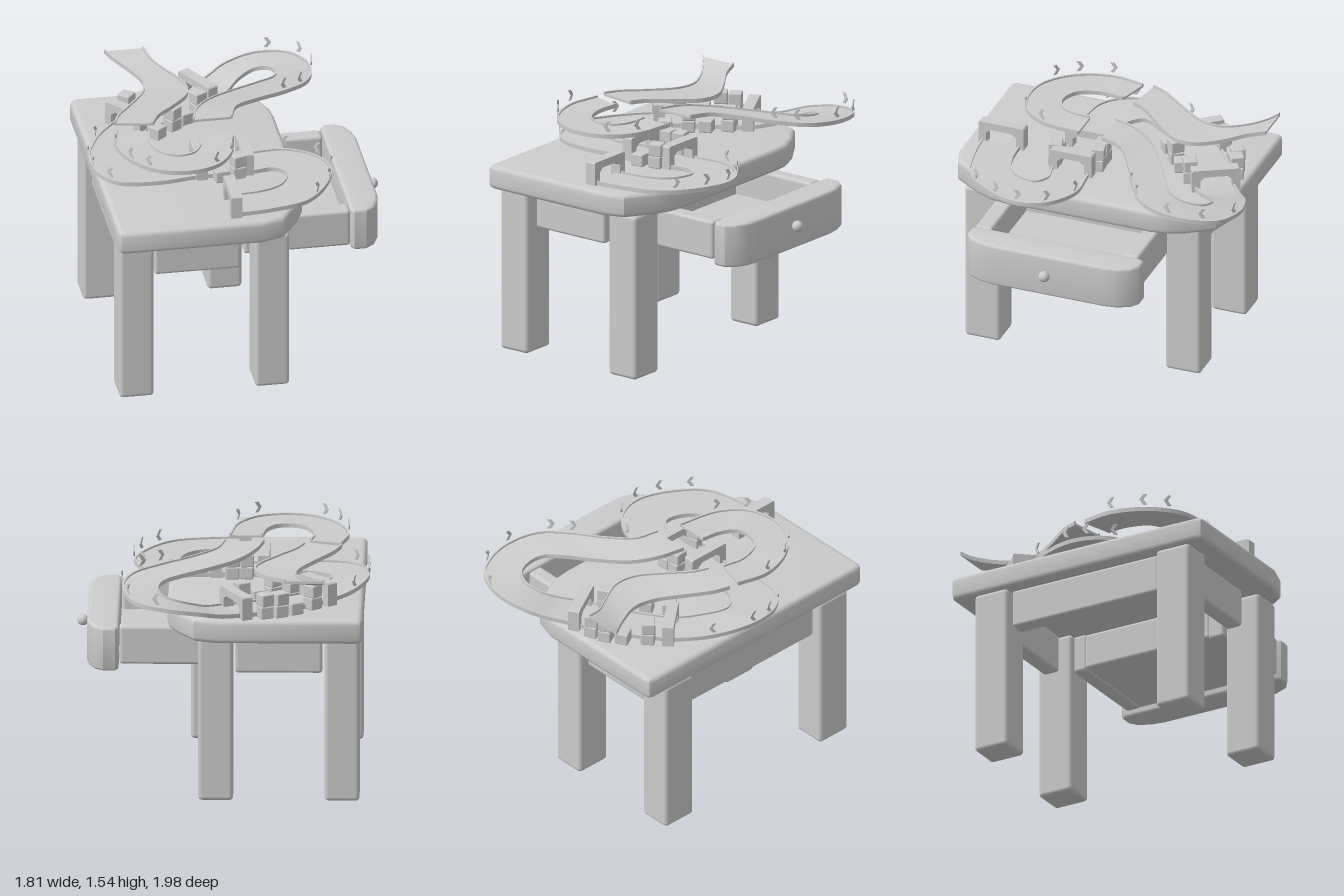
import * as THREE from 'three';
import { toCreasedNormals } from 'three/addons/utils/BufferGeometryUtils.js';
import { RoundedBoxGeometry } from 'three/addons/geometries/RoundedBoxGeometry.js';

const material = new THREE.MeshStandardMaterial({ color: 0xcccccc });
const TOP = 1.21; // height of the table surface

function add(parent, name, geometry, x = 0, y = 0, z = 0, yaw = 0) {
  const mesh = new THREE.Mesh(geometry, material);
  mesh.name = name;
  mesh.position.set(x, y, z);
  mesh.rotation.y = yaw;
  parent.add(mesh);
  return mesh;
}

// Rounded box given by its limits on each axis
function block(parent, name, [x0, x1], [y0, y1], [z0, z1], r = 0.02) {
  const g = new RoundedBoxGeometry(x1 - x0, y1 - y0, z1 - z0, 3, r);
  return add(parent, name, g, (x0 + x1) / 2, (y0 + y1) / 2, (z0 + z1) / 2);
}

// Flat slab with a plan outline of [x, z] points and soft top and bottom edges
function slab(parent, name, outline, y0, y1, bevel) {
  const shape = new THREE.Shape(outline.map(([x, z]) => new THREE.Vector2(x, -z)));
  const g = new THREE.ExtrudeGeometry(shape, {
    depth: y1 - y0 - 2 * bevel, bevelThickness: bevel, bevelSize: bevel,
    bevelOffset: -bevel, bevelSegments: 4,
  });
  g.rotateX(-Math.PI / 2);
  return add(parent, name, toCreasedNormals(g, 0.6), 0, y0 + bevel, 0);
}

// Mirror half an outline across the table's middle line, z = 0.09
const mirrored = (half) => [...half, ...half.map(([x, z]) => [x, 0.18 - z]).reverse()];

// Road with raised lips. Rows: right edge x, z, left edge x, z, height
function makeRoad(parent, name, rows) {
  const right = new THREE.CatmullRomCurve3(rows.map(([x, z, , , y]) => new THREE.Vector3(x, y, z)));
  const left = new THREE.CatmullRomCurve3(rows.map(([, , x, z, y]) => new THREE.Vector3(x, y, z)));
  const steps = (rows.length - 1) * 8;
  const profile = [[0, -0.015], [0, 0.012], [0.012, 0.012], [0.012, 0]];
  const pos = [], index = [];
  for (let j = 0; j <= steps; j++) {
    const a = right.getPoint(j / steps), b = left.getPoint(j / steps);
    const across = b.clone().sub(a).normalize();
    for (const [w, h] of profile) {
      const p = a.clone().addScaledVector(across, w);
      pos.push(p.x, p.y + h, p.z);
    }
    for (const [w, h] of [...profile].reverse()) {
      const p = b.clone().addScaledVector(across, -w);
      pos.push(p.x, p.y + h, p.z);
    }
    if (j === steps) break;
    for (let k = 0; k < 8; k++) {
      const p = j * 8 + k, q = j * 8 + (k + 1) % 8;
      index.push(p, p + 8, q, q, p + 8, q + 8);
    }
  }
  // end caps
  const e = steps * 8;
  for (const [a, b, c, d] of [[0, 3, 4, 7], [0, 1, 2, 3], [4, 5, 6, 7]]) {
    index.push(a, b, c, a, c, d, e + a, e + c, e + b, e + a, e + d, e + c);
  }
  const g = new THREE.BufferGeometry();
  g.setAttribute('position', new THREE.Float32BufferAttribute(pos, 3));
  g.setIndex(index);
  add(parent, name, toCreasedNormals(g, 0.7));
  return { right, left, last: rows.length - 1 };
}

// Arrow-shaped markers along an edge, at positions counted in road rows
const arrow = new THREE.ExtrudeGeometry(new THREE.Shape([
  [-0.023, 0], [0, 0], [0.023, 0.034], [0, 0.068], [-0.023, 0.068], [0, 0.034],
].map(([x, y]) => new THREE.Vector2(x, y))), { depth: 0.008, bevelEnabled: false });
arrow.translate(0, 0, -0.004);

function markers(parent, curve, last, stations) {
  for (const s of stations) {
    const p = curve.getPoint(s / last), t = curve.getTangent(s / last);
    add(parent, 'cornerMarker', arrow, p.x, p.y + 0.03, p.z, Math.atan2(t.z, -t.x));
  }
}

// Arch that spans the road
function gate(parent, x, z, yaw, span = 0.28) {
  const w = span / 2, i = w - 0.05;
  const outline = [[-w, 0], [-i, 0], [-i, 0.075], [-i + 0.03, 0.1], [i - 0.03, 0.1], [i, 0.075],
    [i, 0], [w, 0], [w, 0.14], [w - 0.008, 0.148], [-w + 0.008, 0.148], [-w, 0.14]];
  const g = new THREE.ExtrudeGeometry(new THREE.Shape(outline.map(([u, v]) => new THREE.Vector2(u, v))),
    { depth: 0.07, bevelEnabled: false });
  g.translate(0, 0, -0.035);
  add(parent, 'gate', g, x, TOP, z, yaw);
}

export function createModel() {
  const model = new THREE.Group();
  const table = new THREE.Group(), drawer = new THREE.Group(), track = new THREE.Group();
  table.name = 'table';
  drawer.name = 'drawer';
  track.name = 'track';
  model.add(table, drawer, track);

  // Table top: nearly square on the left, cut corners on the right
  slab(table, 'tableTop', mirrored([[-0.87, 0.95], [-0.858, 0.978], [-0.83, 0.99], [0.03, 0.99],
    [0.17, 0.945], [0.28, 0.78], [0.33, 0.66], [0.34, 0.56]]), 1.06, TOP, 0.03);

  // Legs and rails
  for (const [x, z] of [[-0.85, 0.65], [-0.85, -0.65], [0, 0.65], [-0.07, -0.65]]) {
    block(table, 'leg', [x, x + 0.215], [0, 1.06], [z, z + 0.235], 0.025);
  }
  block(table, 'frontRail', [-0.62, -0.08], [0.81, 1.055], [0.71, 0.82]);
  block(table, 'backRail', [-0.62, -0.08], [0.81, 1.055], [-0.6, -0.49]);
  block(table, 'leftRail', [-0.8, -0.69], [0.81, 1.055], [-0.41, 0.64]);

  // Open drawer
  slab(drawer, 'drawerFront', mirrored([[0.64, 0.63], [0.66, 0.66], [0.735, 0.66],
    [0.79, 0.62], [0.825, 0.54], [0.838, 0.46]]), 0.78, 1.06, 0.02);
  block(drawer, 'drawerSide', [-0.03, 0.635], [0.81, 1.055], [0.54, 0.65]);
  block(drawer, 'drawerSide', [-0.03, 0.635], [0.81, 1.055], [-0.43, -0.33]);
  block(drawer, 'drawerBack', [-0.03, 0.05], [0.82, 1.05], [-0.34, 0.55]);
  block(drawer, 'drawerFloor', [-0.02, 0.65], [0.825, 0.87], [-0.36, 0.58], 0.005);
  add(drawer, 'knob', new THREE.SphereGeometry(0.035, 24, 16), 0.87, 0.935, 0.1);

  // Upper road: launch ramp, half loop, and the banked descent
  makeRoad(track, 'launchRamp', [
    [-0.64, -0.87, -0.39, -0.87, 1.485], [-0.6, -0.82, -0.36, -0.76, 1.46],
    [-0.52, -0.7, -0.28, -0.63, 1.435], [-0.46, -0.55, -0.2, -0.47, 1.425],
    [-0.48, -0.42, -0.21, -0.34, 1.425], [-0.6, -0.23, -0.33, -0.18, 1.435],
    [-0.69, -0.1, -0.44, -0.06, 1.445], [-0.73, 0, -0.49, 0.04, 1.45]]);
  const loop = makeRoad(track, 'upperLoop', [
    [-0.73, 0.07, -0.53, 0.13, 1.445], [-0.77, 0.28, -0.55, 0.27, 1.44],
    [-0.7, 0.5, -0.51, 0.4, 1.44], [-0.55, 0.65, -0.45, 0.45, 1.44],
    [-0.38, 0.69, -0.38, 0.465, 1.44], [-0.2, 0.64, -0.31, 0.44, 1.44],
    [-0.08, 0.49, -0.26, 0.36, 1.44], [-0.03, 0.23, -0.24, 0.23, 1.445]]);
  markers(track, loop.right, loop.last, [1, 1.9, 2.6, 5, 6]);
  const descent = makeRoad(track, 'descent', [
    [0, 0.06, -0.25, 0.06, 1.46], [0.05, -0.08, -0.2, -0.1, 1.45],
    [0.2, -0.19, -0.1, -0.24, 1.43], [0.4, -0.3, 0.08, -0.37, 1.41],
    [0.55, -0.42, 0.25, -0.47, 1.395], [0.61, -0.58, 0.36, -0.55, 1.38],
    [0.6, -0.76, 0.39, -0.64, 1.365], [0.51, -0.92, 0.36, -0.74, 1.345],
    [0.32, -0.985, 0.28, -0.77, 1.325], [0.12, -0.94, 0.18, -0.73, 1.29],
    [0, -0.86, 0.1, -0.65, 1.255], [-0.13, -0.77, 0, -0.55, 1.235]]);
  markers(track, descent.right, descent.last, [2.9, 3.6, 5.2, 6.4, 7.6]);

  // Lower road on the table surface
  const low = makeRoad(track, 'lowerRoad', [
    [-0.13, -0.77, 0, -0.55, 1.232], [-0.4, -0.62, -0.28, -0.4, 1.225],
    [-0.66, -0.42, -0.5, -0.25, 1.226], [-0.81, -0.22, -0.6, -0.1, 1.23],
    [-0.9, 0.05, -0.66, 0.03, 1.24], [-0.87, 0.25, -0.62, 0.1, 1.235],
    [-0.76, 0.37, -0.53, 0.16, 1.228], [-0.5, 0.4, -0.46, 0.16, 1.226],
    [-0.28, 0.37, -0.28, 0.125, 1.226], [0.08, 0.36, 0.08, 0.115, 1.226],
    [0.2, 0.345, 0.32, 0.11, 1.226], [0.27, 0.4, 0.5, 0.23, 1.226],
    [0.26, 0.48, 0.56, 0.4, 1.226], [0.2, 0.57, 0.5, 0.6, 1.226],
    [0.08, 0.62, 0.34, 0.8, 1.226], [-0.07, 0.635, 0.1, 0.87, 1.226],
    [-0.13, 0.635, -0.09, 0.89, 1.226]]);
  markers(track, low.right, low.last, [3, 3.95, 4.6, 5.6]);
  markers(track, low.left, low.last, [10, 11, 12, 12.8, 13.6]);

  // Gates
  gate(track, -0.12, 0.76, Math.PI / 2, 0.3);
  gate(track, 0.045, 0.235, Math.PI / 2);
  gate(track, -0.245, 0.245, Math.PI / 2);
  gate(track, -0.09, -0.66, -1.06, 0.3);
  gate(track, -0.59, -0.37, -0.87);

  // Stacks of toy blocks: x, z, yaw, count
  const cube = new RoundedBoxGeometry(0.085, 0.078, 0.085, 2, 0.008);
  for (const [x, z, yaw, count] of [
    [-0.27, -0.73, 0.4, 2], [-0.12, -0.48, 0.35, 2], [-0.56, -0.53, 0.7, 2], [-0.45, -0.64, 0.5, 1],
    [-0.36, -0.7, 0.45, 2], [-0.22, -0.38, 0.4, 1], [-0.31, -0.31, 0.6, 2], [-0.42, -0.22, 0.7, 1],
    [-0.14, 0.105, -0.05, 2], [-0.05, 0.1, 0.08, 2], [-0.02, 0.37, 0.15, 2], [-0.13, 0.4, 0.1, 1]]) {
    for (let i = 0; i < count; i++) {
      add(track, 'toyBlock', cube, x, TOP + 0.039 + i * 0.078, z, yaw + i * 0.15);
    }
  }
  return model;
}
